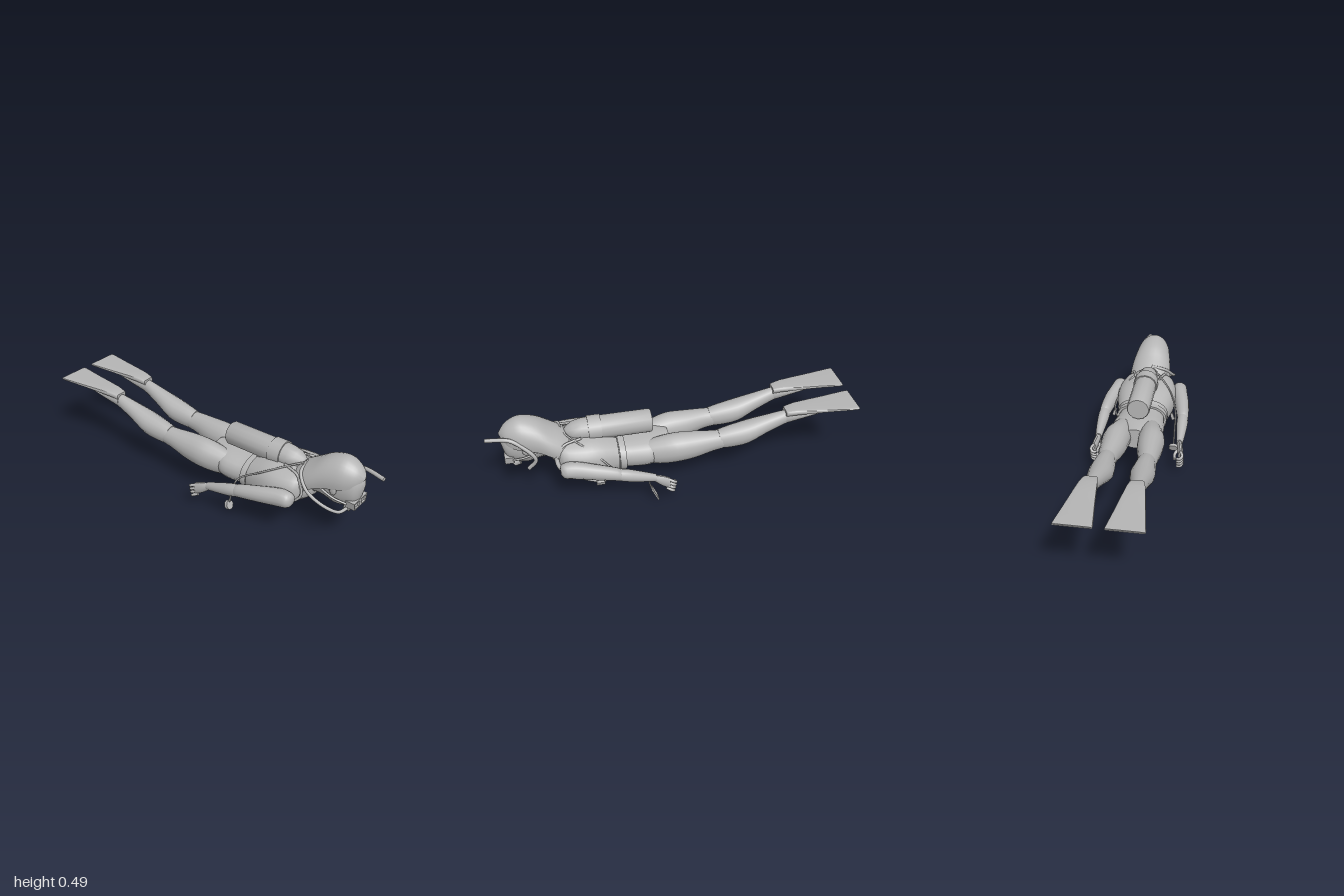
import * as THREE from 'three';
import { toCreasedNormals } from 'three/addons/utils/BufferGeometryUtils.js';

const grey = new THREE.MeshStandardMaterial({ color: 0xb4b4b4, side: THREE.DoubleSide });
grey.name = 'plain grey';
const V = (x, y, z) => new THREE.Vector3(x, y, z);

function add(parent, name, geometry, x = 0, y = 0, z = 0) {
  const mesh = new THREE.Mesh(geometry, grey);
  mesh.name = name;
  mesh.position.set(x, y, z);
  parent.add(mesh);
  return mesh;
}

// Skin over elliptical rings [x, y, z, rx, ry], listed from front to back.
// power < 1 squares the section; an arc under a full turn leaves the shell open.
function loft(rings, { segs = 14, steps = 3, power = 1, start = 0, arc = Math.PI * 2 } = {}) {
  const closed = arc > 6.28;
  const n = segs + 1;
  const pos = [], index = [];
  const cat = (a, b, c, d, t) =>
    0.5 * (2 * b + (c - a) * t + (2 * a - 5 * b + 4 * c - d) * t * t + (3 * b - a - 3 * c + d) * t * t * t);
  const fine = [];
  for (let i = 0; i < rings.length - 1; i++) {
    for (let s = 0; s < steps; s++) {
      const r = k => rings[Math.min(rings.length - 1, Math.max(0, k))];
      fine.push(rings[i].map((_, q) => cat(r(i - 1)[q], r(i)[q], r(i + 1)[q], r(i + 2)[q], s / steps)));
    }
  }
  fine.push(rings[rings.length - 1]);
  const bend = v => Math.sign(v) * Math.pow(Math.abs(v), power);
  for (const [x, y, z, rx, ry] of fine) {
    for (let j = 0; j < n; j++) {
      const a = start + arc * j / segs;
      pos.push(x + rx * bend(Math.cos(a)), y + ry * bend(Math.sin(a)), z);
    }
  }
  for (let i = 0; i < fine.length - 1; i++) {
    for (let j = 0; j < segs; j++) {
      const a = i * n + j, b = a + n;
      index.push(a, b, a + 1, b, b + 1, a + 1);
    }
  }
  if (closed) {
    const last = (fine.length - 1) * n, c = pos.length / 3;
    const e = fine[fine.length - 1];
    pos.push(...fine[0].slice(0, 3), ...e.slice(0, 3));
    for (let j = 0; j < segs; j++) index.push(c, j, j + 1, c + 1, last + j + 1, last + j);
  }
  const g = new THREE.BufferGeometry();
  g.setAttribute('position', new THREE.Float32BufferAttribute(pos, 3));
  g.setIndex(index);
  return toCreasedNormals(g, 0.9);
}

// Round hose through points, with closed ends
function hose(parent, name, points, radius, ring = false) {
  const path = new THREE.CatmullRomCurve3(points.map(p => V(...p)), ring);
  const group = new THREE.Group();
  group.name = name;
  add(group, name + 'Tube', new THREE.TubeGeometry(path, points.length * 6, radius, 8, ring));
  if (!ring) {
    for (const t of [0, 1]) {
      const cap = add(group, name + 'End', new THREE.CircleGeometry(radius, 8), ...path.getPoint(t).toArray());
      cap.lookAt(path.getPoint(t).add(path.getTangent(t).multiplyScalar(t ? 1 : -1)));
    }
  }
  parent.add(group);
  return group;
}

function buildBody(model) {
  add(model, 'torso', loft([
    [0.01, 0.28, 0.66, 0.06, 0.06], [0.01, 0.265, 0.61, 0.125, 0.085], [0.01, 0.25, 0.52, 0.155, 0.1],
    [0.01, 0.235, 0.44, 0.158, 0.112], [0.01, 0.22, 0.34, 0.14, 0.095], [0.012, 0.215, 0.28, 0.132, 0.08],
    [0.013, 0.215, 0.2, 0.143, 0.083], [0.015, 0.22, 0.12, 0.14, 0.08], [0.015, 0.23, 0.02, 0.06, 0.06],
  ], { segs: 20, power: 0.85 }));
  // Diving vest, open under the chest
  add(model, 'vest', loft([
    [0.01, 0.27, 0.635, 0.1, 0.08], [0.01, 0.262, 0.6, 0.15, 0.092], [0.01, 0.25, 0.51, 0.172, 0.108],
    [0.01, 0.24, 0.42, 0.17, 0.115], [0.01, 0.225, 0.31, 0.145, 0.095],
  ], { segs: 18, power: 0.8, start: -0.5, arc: Math.PI + 1 }));
  add(model, 'weightBelt', loft([
    [0.012, 0.215, 0.305, 0.146, 0.093], [0.012, 0.215, 0.27, 0.146, 0.091],
  ], { segs: 20, steps: 1, power: 0.85 }));
}

function buildHead(model) {
  add(model, 'head', loft([
    [0.01, 0.37, 0.915, 0.015, 0.02], [0.01, 0.35, 0.89, 0.055, 0.085], [0.01, 0.345, 0.84, 0.074, 0.115],
    [0.01, 0.335, 0.78, 0.08, 0.115], [0.01, 0.33, 0.7, 0.075, 0.09], [0.01, 0.3, 0.62, 0.07, 0.07],
    [0.01, 0.27, 0.55, 0.07, 0.06],
  ], { segs: 18 }));
  // Hood runs from the crown down to the shoulders
  add(model, 'hood', loft([
    [0.012, 0.41, 0.918, 0.005, 0.008], [0.012, 0.395, 0.89, 0.052, 0.062], [0.012, 0.385, 0.85, 0.08, 0.1],
    [0.012, 0.38, 0.8, 0.097, 0.117], [0.012, 0.36, 0.72, 0.11, 0.114], [0.012, 0.32, 0.65, 0.121, 0.107],
    [0.012, 0.275, 0.58, 0.118, 0.108], [0.012, 0.25, 0.54, 0.105, 0.095],
  ], { segs: 18, start: -0.3, arc: Math.PI + 0.6 }));
  for (const s of [-1, 1]) {
    add(model, 'ear', new THREE.SphereGeometry(1, 10, 8), 0.01 + s * 0.08, 0.335, 0.79).scale.set(0.01, 0.03, 0.02);
  }

  // Mask frame with two window openings
  const frame = new THREE.Shape([[-0.055, -0.022], [0.055, -0.022], [0.064, 0.022], [-0.064, 0.022]]
    .map(p => new THREE.Vector2(...p)));
  for (const s of [-1, 1]) {
    frame.holes.push(new THREE.Path([[0.012, -0.016], [0.05, -0.016], [0.056, 0.014], [0.006, 0.014]]
      .map(([x, y]) => new THREE.Vector2(s * x, y))));
  }
  add(model, 'maskFrame', new THREE.ExtrudeGeometry(frame, { depth: 0.05, bevelEnabled: false }), 0.011, 0.268, 0.855);
  add(model, 'maskLens', new THREE.BoxGeometry(0.105, 0.036, 0.006), 0.011, 0.268, 0.893);
  hose(model, 'maskStrap', [[-0.05, 0.27, 0.86], [-0.08, 0.3, 0.79], [-0.07, 0.34, 0.7], [0.01, 0.36, 0.67],
    [0.09, 0.34, 0.7], [0.1, 0.3, 0.79], [0.072, 0.27, 0.86]], 0.006);

  hose(model, 'snorkel', [[0.06, 0.413, 0.99], [0.085, 0.415, 0.88], [0.096, 0.4, 0.84], [0.12, 0.32, 0.755],
    [0.118, 0.285, 0.745], [0.096, 0.222, 0.785]], 0.011);

  // Mouthpiece and its hose to the tank valve
  add(model, 'regulator', new THREE.CylinderGeometry(0.023, 0.026, 0.035, 10), 0.012, 0.218, 0.845)
    .rotation.x = Math.PI / 2 + 0.4;
  add(model, 'mouthpiece', new THREE.BoxGeometry(0.03, 0.025, 0.05), 0.012, 0.233, 0.82);
  hose(model, 'breathingHose', [[0, 0.213, 0.845], [-0.06, 0.213, 0.83], [-0.115, 0.255, 0.77],
    [-0.122, 0.31, 0.67], [-0.08, 0.37, 0.61], [0, 0.39, 0.6]], 0.009);
}

function buildTank(model) {
  const profile = [[0, 0.11], [0.06, 0.11], [0.065, 0.118], [0.065, 0.44], [0.062, 0.49], [0.052, 0.535],
    [0.03, 0.57], [0.016, 0.58], [0.016, 0.615], [0, 0.615]].map(p => new THREE.Vector2(...p));
  const tank = toCreasedNormals(new THREE.LatheGeometry(profile, 14), 0.7);
  add(model, 'tank', tank, 0.01, 0.367, 0).rotation.x = Math.PI / 2;
  add(model, 'tankBand', new THREE.CylinderGeometry(0.071, 0.071, 0.07, 14), 0.01, 0.367, 0.42).rotation.x = Math.PI / 2;
  add(model, 'tankCradle', new THREE.BoxGeometry(0.1, 0.05, 0.22), 0.01, 0.315, 0.42);
  add(model, 'valve', new THREE.CylinderGeometry(0.013, 0.013, 0.065, 8), 0.01, 0.38, 0.605).rotation.z = Math.PI / 2;
  add(model, 'valveKnob', new THREE.SphereGeometry(0.019, 8, 6), 0.01, 0.385, 0.62);

  // Pressure gauge hanging on the right
  hose(model, 'gaugeHose', [[0, 0.385, 0.6], [-0.06, 0.365, 0.53], [-0.14, 0.32, 0.42], [-0.183, 0.25, 0.3],
    [-0.184, 0.17, 0.265], [-0.183, 0.08, 0.245]], 0.005);
  const gauge = add(model, 'gauge', new THREE.CylinderGeometry(0.026, 0.026, 0.018, 10), -0.182, 0.055, 0.24);
  gauge.rotation.x = Math.PI / 2 - 0.4;
  // Inflator hose on the left
  hose(model, 'supplyHose', [[0.02, 0.385, 0.6], [0.08, 0.365, 0.55], [0.15, 0.31, 0.45], [0.185, 0.22, 0.36],
    [0.165, 0.18, 0.33]], 0.005);
  hose(model, 'inflatorHose', [[0.1, 0.33, 0.64], [0.14, 0.24, 0.63], [0.14, 0.185, 0.58], [0.145, 0.14, 0.5],
    [0.162, 0.12, 0.42]], 0.012);
  add(model, 'inflatorGrip', new THREE.BoxGeometry(0.032, 0.026, 0.045), 0.162, 0.117, 0.42).rotation.z = -0.4;
  for (const s of [-1, 1]) {
    hose(model, 'shoulderStrap', [[0.01 + s * 0.07, 0.36, 0.5], [0.01 + s * 0.1, 0.345, 0.6],
      [0.01 + s * 0.125, 0.26, 0.64], [0.01 + s * 0.13, 0.19, 0.58]], 0.007);
    add(model, 'strapEnd', new THREE.BoxGeometry(0.018, 0.045, 0.012), 0.02 + s * 0.175, 0.17, 0.4).rotation.z = s * 0.3;
  }

  // Writing slate on a cord from the left hand
  hose(model, 'slateCord', [[0.24, 0.14, 0.17], [0.238, 0.11, 0.165], [0.236, 0.088, 0.158]], 0.004);
  const slate = new THREE.Shape([[-0.026, -0.042], [0.026, -0.042], [0.026, 0.034], [0.016, 0.042],
    [-0.016, 0.042], [-0.026, 0.034]].map(p => new THREE.Vector2(...p)));
  const board = add(model, 'slate', new THREE.ExtrudeGeometry(slate, { depth: 0.008, bevelEnabled: false }),
    0.233, 0.046, 0.135);
  board.rotation.set(0.42, 0, -0.09);
}

function buildArm(model, s) {
  const arm = new THREE.Group();
  arm.name = s > 0 ? 'leftArm' : 'rightArm';
  const x = v => 0.008 + s * v;
  add(arm, 'upperArm', loft([
    [x(0.18), 0.25, 0.628, 0.02, 0.02], [x(0.185), 0.25, 0.61, 0.04, 0.04], [x(0.19), 0.247, 0.55, 0.046, 0.048],
    [x(0.213), 0.235, 0.45, 0.042, 0.044], [x(0.23), 0.215, 0.34, 0.034, 0.037], [x(0.232), 0.205, 0.31, 0.028, 0.03],
  ]));
  add(arm, 'forearm', loft([
    [x(0.23), 0.215, 0.36, 0.028, 0.03], [x(0.233), 0.2, 0.29, 0.033, 0.036], [x(0.235), 0.175, 0.2, 0.026, 0.029],
    [x(0.235), 0.155, 0.13, 0.018, 0.022],
  ]));
  // Hand with curled fingers
  add(arm, 'palm', loft([
    [x(0.235), 0.152, 0.14, 0.015, 0.02], [x(0.243), 0.135, 0.1, 0.016, 0.034], [x(0.25), 0.118, 0.06, 0.014, 0.036],
  ], { segs: 10 }));
  for (let i = 0; i < 4; i++) {
    const y = 0.143 - i * 0.019, z = 0.066 + i * 0.004;
    hose(arm, 'finger', [[x(0.25), y, z], [x(0.261), y - 0.012, z - 0.028], [x(0.25), y - 0.024, z - 0.04],
      [x(0.232), y - 0.03, z - 0.034]], 0.0085);
  }
  hose(arm, 'thumb', [[x(0.235), 0.13, 0.11], [x(0.215), 0.11, 0.085], [x(0.217), 0.098, 0.05]], 0.0095);
  model.add(arm);
}

function buildLeg(model, s) {
  const leg = new THREE.Group();
  leg.name = s > 0 ? 'leftLeg' : 'rightLeg';
  const x = v => 0.015 + s * v;
  add(leg, 'thigh', loft([
    [x(0.075), 0.22, 0.17, 0.05, 0.06], [x(0.085), 0.225, 0.09, 0.066, 0.08], [x(0.097), 0.238, 0, 0.075, 0.085],
    [x(0.1), 0.243, -0.1, 0.069, 0.078], [x(0.106), 0.255, -0.2, 0.055, 0.06], [x(0.106), 0.258, -0.26, 0.05, 0.054],
  ], { segs: 16 }));
  add(leg, 'calf', loft([
    [x(0.106), 0.262, -0.24, 0.047, 0.055], [x(0.106), 0.268, -0.3, 0.056, 0.064], [x(0.106), 0.285, -0.4, 0.064, 0.066],
    [x(0.109), 0.32, -0.5, 0.05, 0.052], [x(0.113), 0.352, -0.6, 0.035, 0.042], [x(0.114), 0.362, -0.64, 0.032, 0.038],
  ], { segs: 16 }));
  add(leg, 'foot', loft([
    [x(0.114), 0.36, -0.61, 0.034, 0.042], [x(0.115), 0.372, -0.7, 0.04, 0.034], [x(0.116), 0.385, -0.8, 0.04, 0.018],
    [x(0.117), 0.392, -0.845, 0.025, 0.008],
  ]));
  add(leg, 'fin', loft([
    [x(0.114), 0.39, -0.61, 0.034, 0.015], [x(0.115), 0.4, -0.67, 0.046, 0.016], [x(0.117), 0.406, -0.84, 0.07, 0.009],
    [x(0.118), 0.41, -0.99, 0.092, 0.006], [x(0.118), 0.411, -1, 0.088, 0.004],
  ], { segs: 16, steps: 2, power: 0.35 }));
  model.add(leg);
}

export function createModel() {
  const model = new THREE.Group();
  model.name = 'diver';
  buildBody(model);
  buildHead(model);
  buildTank(model);
  for (const s of [-1, 1]) {
    buildArm(model, s);
    buildLeg(model, s);
  }
  return model;
}
